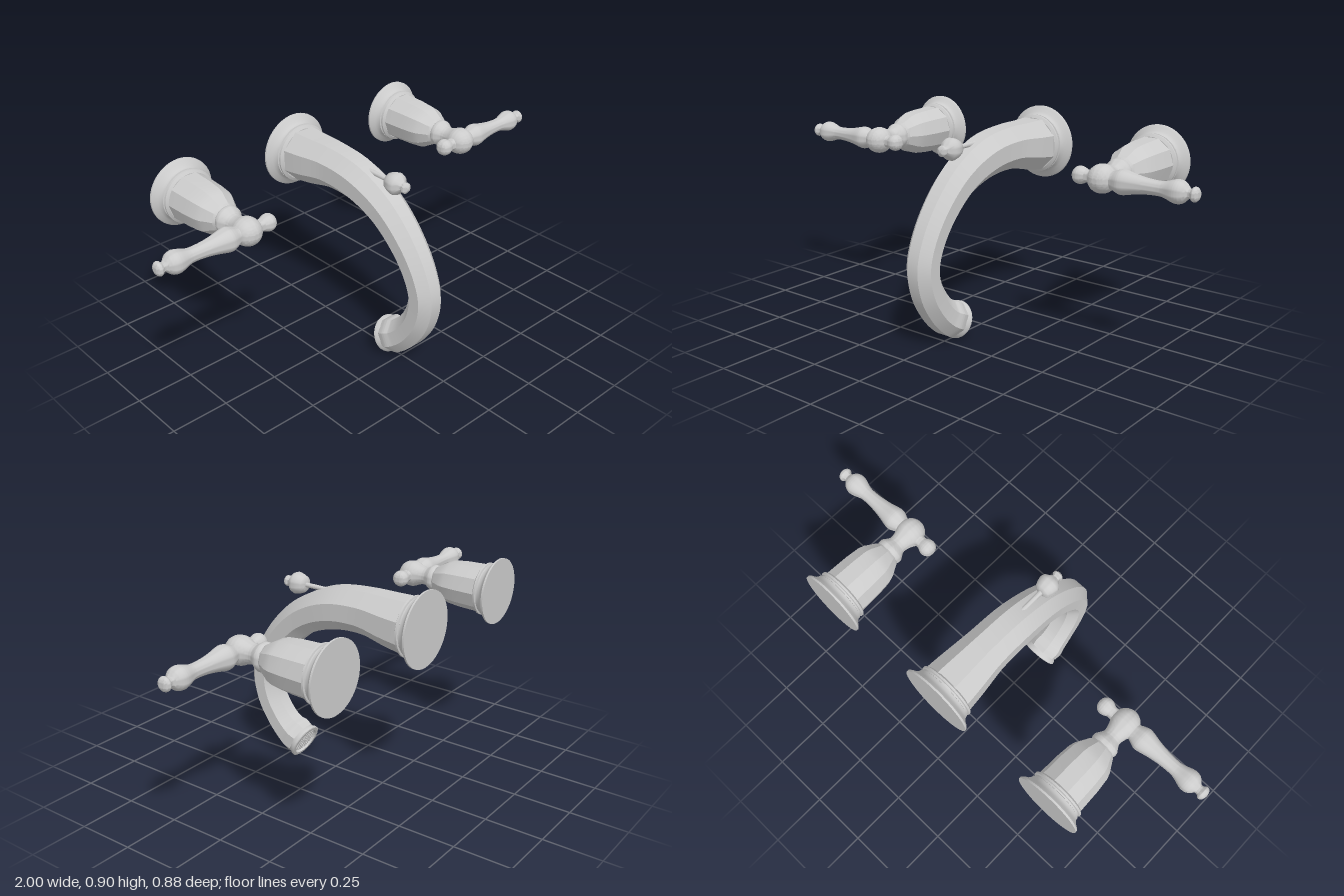
import * as THREE from 'three';
import { toCreasedNormals } from 'three/addons/utils/BufferGeometryUtils.js';

const material = new THREE.MeshStandardMaterial({ color: 0xcccccc, side: THREE.DoubleSide });

function part(name, geometry, crease = 0.5) {
  const mesh = new THREE.Mesh(crease ? toCreasedNormals(geometry, crease) : geometry, material);
  mesh.name = name;
  return mesh;
}

// Turned solid along +z from [z, radius] pairs, optionally smoothed along its length
function turned(profile, { sides = 40, smooth = 0 } = {}) {
  let points = profile.map(([z, r]) => new THREE.Vector2(r, z));
  if (smooth) {
    points = new THREE.SplineCurve(points).getPoints(smooth);
    points.forEach((p) => { p.x = Math.max(p.x, 0); });
  }
  return new THREE.LatheGeometry(points, sides, Math.PI / 2).rotateX(Math.PI / 2);
}

// Wall flange; s scales the radius
const flange = (s) => turned([
  [-0.44, 0], [-0.44, 0.145 * s], [-0.432, 0.145 * s], [-0.425, 0.138 * s], [-0.416, 0.124 * s],
  [-0.405, 0.116 * s], [-0.395, 0.114 * s], [-0.393, 0.108 * s], [-0.386, 0.108 * s],
  [-0.384, 0.115 * s], [-0.376, 0.115 * s], [-0.368, 0.104 * s], [-0.368, 0],
], { sides: 48 });

// Tube with a polygonal section swept along [z, y, apothem] stations
function sweep(stations, sides, steps) {
  const path = new THREE.CatmullRomCurve3(stations.map(([z, y]) => new THREE.Vector3(0, y, z)));
  const sizes = new THREE.CatmullRomCurve3(stations.map(([, , r], i) => new THREE.Vector3(r, i, 0)));
  const xAxis = new THREE.Vector3(1, 0, 0);
  const positions = [], index = [];
  for (let i = 0; i <= steps; i++) {
    const t = i / steps;
    const centre = path.getPoint(t);
    const normal = path.getTangent(t).cross(xAxis).normalize();
    const radius = sizes.getPoint(t).x / Math.cos(Math.PI / sides);
    for (let j = 0; j < sides; j++) {
      const a = ((j + 0.5) / sides) * Math.PI * 2;
      const v = centre.clone()
        .addScaledVector(xAxis, radius * Math.cos(a))
        .addScaledVector(normal, radius * Math.sin(a));
      positions.push(v.x, v.y, v.z);
      if (i < steps) {
        const k = i * sides + j, n = i * sides + ((j + 1) % sides);
        index.push(k, n, k + sides, n, n + sides, k + sides);
      }
    }
  }
  const geometry = new THREE.BufferGeometry();
  geometry.setAttribute('position', new THREE.Float32BufferAttribute(positions, 3));
  geometry.setIndex(index);
  return geometry;
}

function createSpout() {
  const spout = new THREE.Group();
  spout.name = 'spout';

  const wallFlange = part('spoutFlange', flange(1.11));
  wallFlange.position.y = 0.745;
  spout.add(wallFlange);

  // Faceted gooseneck
  spout.add(part('gooseneck', sweep([
    [-0.39, 0.745, 0.112], [-0.29, 0.753, 0.104], [-0.16, 0.765, 0.091], [0, 0.748, 0.086],
    [0.15, 0.682, 0.077], [0.27, 0.573, 0.07], [0.345, 0.46, 0.066], [0.375, 0.36, 0.065],
    [0.355, 0.255, 0.065], [0.3, 0.165, 0.066], [0.25, 0.117, 0.07], [0.218, 0.099, 0.076],
    [0.19, 0.086, 0.072],
  ], 8, 72)));

  // Outlet lip, hollow at the end, with a fine screen inside
  const outlet = new THREE.Group();
  outlet.name = 'outlet';
  outlet.add(part('lip', turned([
    [-0.035, 0.07], [-0.022, 0.074], [-0.012, 0.08], [-0.003, 0.081], [0, 0.077],
    [0, 0.064], [-0.012, 0.06], [-0.012, 0],
  ])));
  for (let i = -4; i <= 4; i++) {
    const offset = i * 0.012;
    const length = 2 * Math.sqrt(0.058 ** 2 - offset ** 2);
    const across = part('screenBar', new THREE.BoxGeometry(length, 0.003, 0.004));
    across.position.set(0, offset, -0.01);
    const upright = part('screenBar', new THREE.BoxGeometry(0.003, length, 0.004));
    upright.position.set(offset, 0, -0.01);
    outlet.add(across, upright);
  }
  outlet.position.set(0, 0.075, 0.167);
  outlet.lookAt(0, 0.075 - 0.42, 0.167 - 0.907);
  spout.add(outlet);

  // Lift rod and its knob
  const liftRod = new THREE.Group();
  liftRod.name = 'liftRod';
  liftRod.add(part('rod', turned([[-0.02, 0], [-0.02, 0.01], [0.17, 0.01]], { sides: 16 })));
  liftRod.add(part('liftKnob', turned([
    [0.152, 0], [0.152, 0.022], [0.16, 0.034], [0.178, 0.042], [0.2, 0.047], [0.215, 0.042],
    [0.228, 0.025], [0.236, 0.018], [0.243, 0.018], [0.248, 0.023], [0.256, 0.022],
    [0.264, 0.013], [0.266, 0],
  ], { sides: 32 }), 0.7));
  liftRod.position.y = 0.814;
  spout.add(liftRod);
  return spout;
}

function createHandle(side) {
  const handle = new THREE.Group();
  handle.name = side > 0 ? 'leftHandle' : 'rightHandle';
  handle.add(part('handleFlange', flange(1)));

  // Faceted cup
  handle.add(part('cup', turned([
    [-0.375, 0.106], [-0.35, 0.105], [-0.27, 0.102], [-0.21, 0.096], [-0.185, 0.088],
    [-0.16, 0.073], [-0.14, 0.062], [-0.125, 0.05],
  ], { sides: 10 })));

  // Round neck ending in a domed hub
  handle.add(part('neckAndHub', turned([
    [-0.14, 0.045], [-0.127, 0.056], [-0.11, 0.057], [-0.098, 0.05], [-0.08, 0.04],
    [-0.062, 0.04], [-0.04, 0.046], [-0.02, 0.055], [0, 0.058], [0.025, 0.053],
    [0.045, 0.04], [0.058, 0.02], [0.063, 0],
  ], { smooth: 48 }), 0.8));

  // Lever with a swelling tip and small finial
  const lever = part('lever', turned([
    [0.03, 0.036], [0.05, 0.036], [0.065, 0.042], [0.085, 0.049], [0.105, 0.048], [0.15, 0.038],
    [0.2, 0.031], [0.25, 0.029], [0.275, 0.033], [0.305, 0.043], [0.325, 0.046], [0.345, 0.041],
    [0.36, 0.028], [0.368, 0.02], [0.378, 0.021], [0.386, 0.028], [0.396, 0.028],
    [0.406, 0.018], [0.41, 0],
  ], { smooth: 72, sides: 32 }), 0.8);
  lever.rotation.y = side * Math.PI / 2;
  handle.add(lever);

  // Small counter knob opposite the lever
  const knob = part('counterKnob', turned([
    [0.03, 0.032], [0.055, 0.026], [0.07, 0.026], [0.085, 0.033], [0.1, 0.036],
    [0.115, 0.032], [0.127, 0.02], [0.132, 0],
  ], { smooth: 32, sides: 32 }), 0.8);
  knob.rotation.y = -side * Math.PI / 2;
  handle.add(knob);

  handle.position.set(side * 0.59, 0.745, 0);
  return handle;
}

export function createModel() {
  const model = new THREE.Group();
  model.name = 'wallFaucet';
  model.add(createSpout(), createHandle(1), createHandle(-1));
  return model;
}
